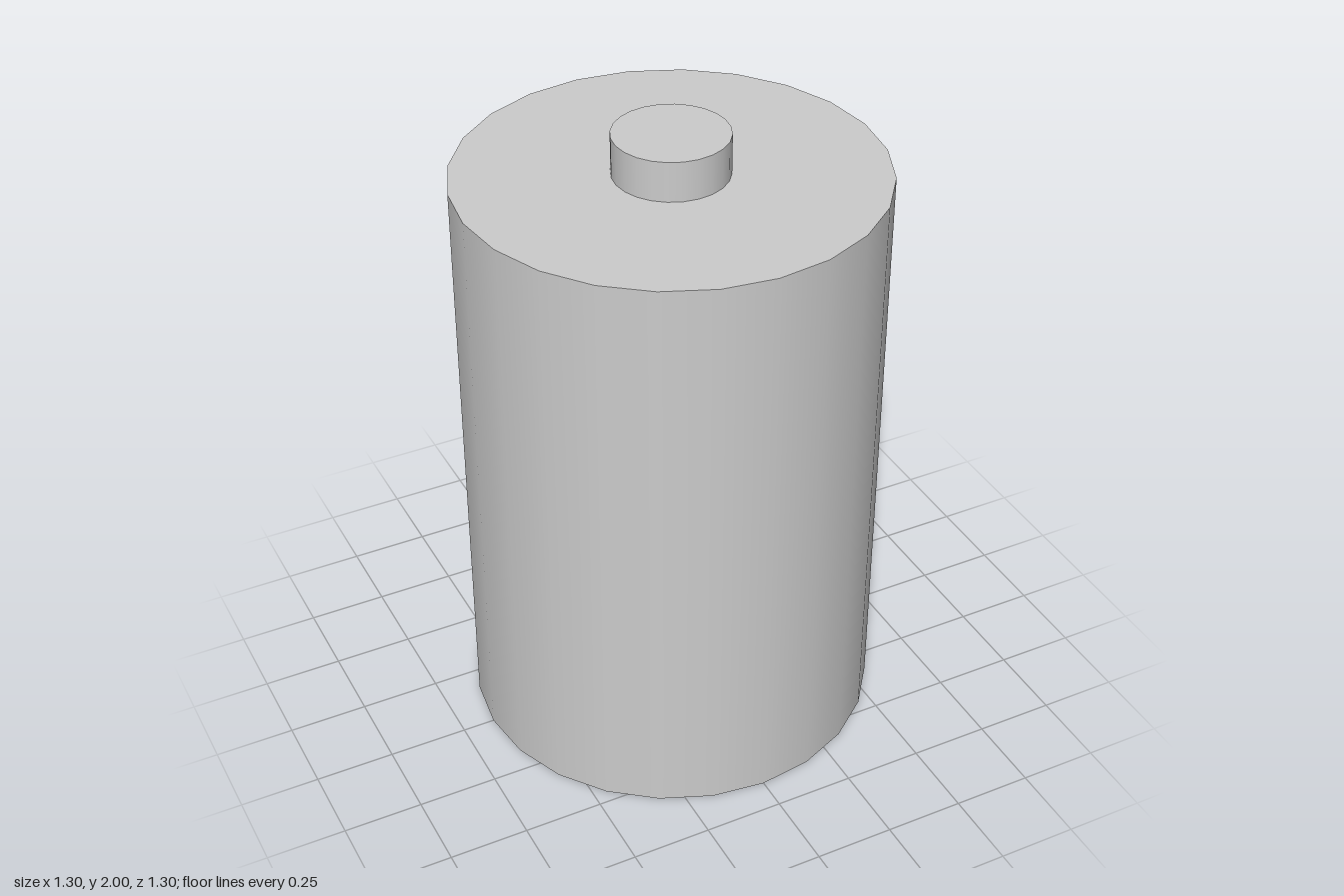
import * as THREE from 'three';

const SIDES = 24;

export function createModel() {
  const group = new THREE.Group();
  const material = new THREE.MeshStandardMaterial({ color: 0xcccccc });

  // Upright capped cylinder between two heights
  const addCylinder = (name, radius, bottom, top) => {
    const geometry = new THREE.CylinderGeometry(radius, radius, top - bottom, SIDES);
    const mesh = new THREE.Mesh(geometry, material);
    mesh.name = name;
    mesh.position.y = (bottom + top) / 2;
    group.add(mesh);
  };

  addCylinder('body', 0.648, 0, 1.873);
  addCylinder('topTerminal', 0.176, 1.873, 2);

  return group;
}
